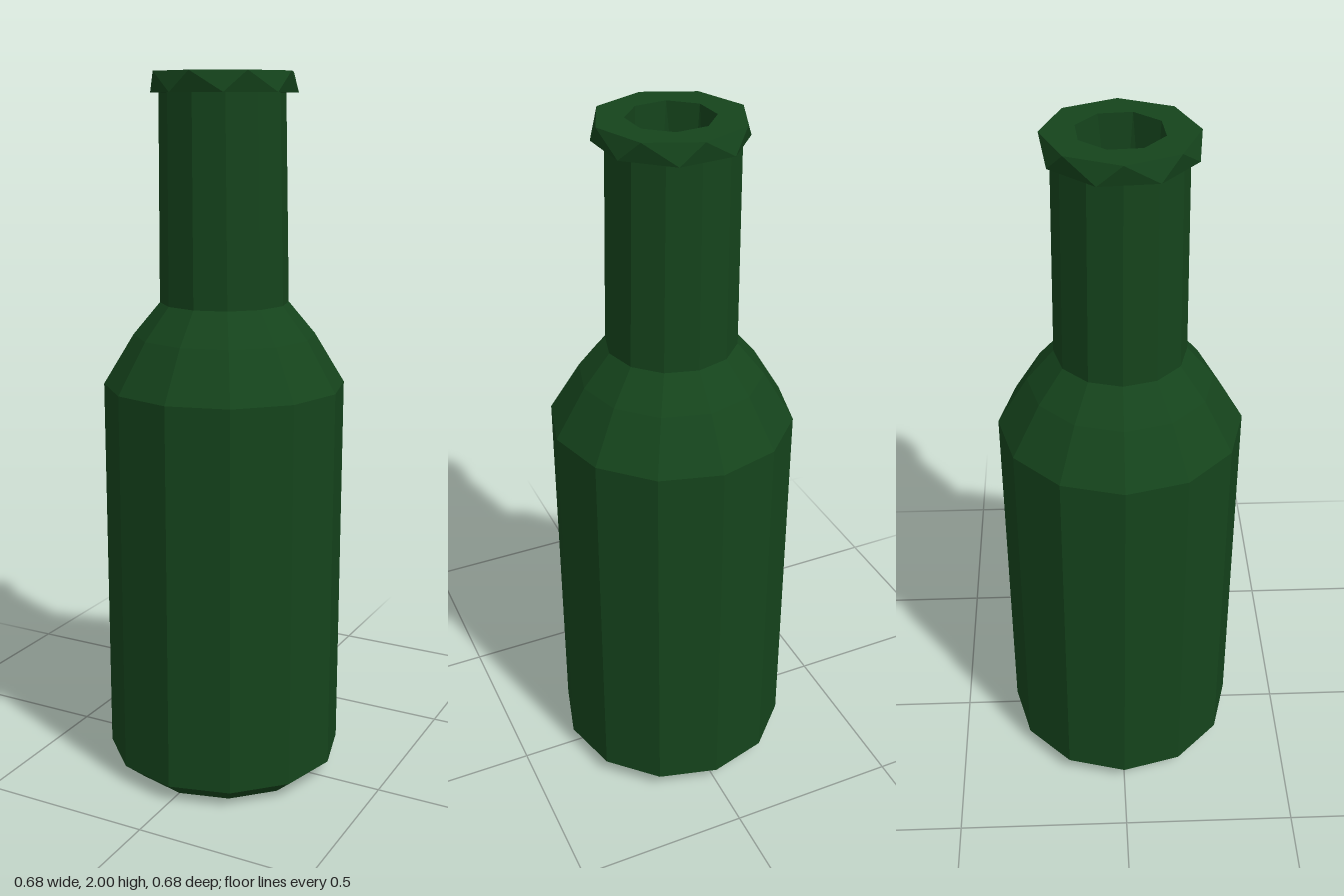
import * as THREE from 'three';

const glass = new THREE.MeshStandardMaterial({ color: 0x15441c, flatShading: true });

// Skins a stack of n-sided rings [y, radius, twist in degrees, x shift];
// capFirst / capLast close the ends.
function loft(name, n, rings, capFirst, capLast) {
  const pos = [], idx = [];
  for (const [y, r, twist = 0, cx = 0] of rings) {
    for (let i = 0; i < n; i++) {
      const a = (i / n) * Math.PI * 2 + THREE.MathUtils.degToRad(twist);
      pos.push(cx + r * Math.cos(a), y, -r * Math.sin(a));
    }
  }
  for (let k = 0; k < rings.length - 1; k++) {
    for (let i = 0; i < n; i++) {
      const j = (i + 1) % n, b = k * n, t = b + n;
      idx.push(b + i, b + j, t + j, b + i, t + j, t + i);
    }
  }
  const last = (rings.length - 1) * n;
  for (let i = 1; i < n - 1; i++) {
    if (capFirst) idx.push(0, i + 1, i);
    if (capLast) idx.push(last, last + i, last + i + 1);
  }
  const g = new THREE.BufferGeometry();
  g.setAttribute('position', new THREE.Float32BufferAttribute(pos, 3));
  g.setIndex(idx);
  g.computeVertexNormals();
  const mesh = new THREE.Mesh(g, glass);
  mesh.name = name;
  return mesh;
}

export function createModel() {
  const bottle = new THREE.Group();
  bottle.name = 'bottle';

  // Body with chamfered base and two-step shoulder
  bottle.add(loft('body', 12, [
    [0, 0.28], [0.05, 0.34], [1.15, 0.34], [1.29, 0.255], [1.38, 0.18],
  ], true, false));

  // Slightly leaning, tapering neck
  bottle.add(loft('neck', 12, [
    [1.38, 0.18], [1.96, 0.172, 0, -0.006],
  ], false, false));

  // Twisted octagonal lip, running over the rim and down into the mouth
  bottle.add(loft('lip', 8, [
    [1.945, 0.15, 26.5], [1.945, 0.2, 26.5], [2, 0.198, 0],
    [2, 0.115, -18], [1.45, 0.108, -45],
  ], false, true));

  return bottle;
}
